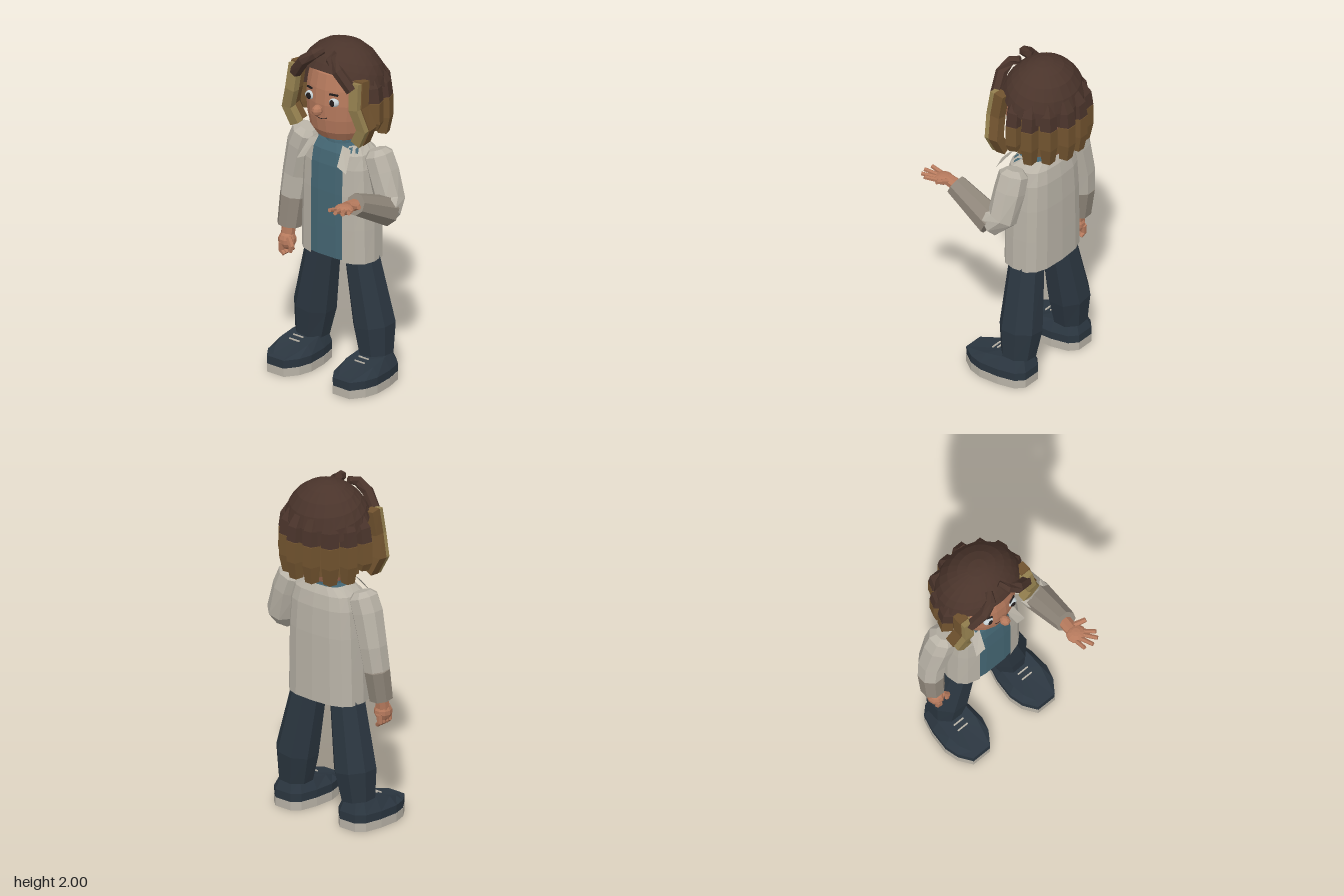
import * as THREE from 'three';

const mat = (name, color, double) => {
  const m = new THREE.MeshStandardMaterial({ color });
  m.name = name;
  if (double) m.side = THREE.DoubleSide;
  return m;
};
const V = (x, y, z) => new THREE.Vector3(x, y, z);
const X = V(1, 0, 0), Y = V(0, 1, 0);

// Faceted skin over rings of points; closed rings get end caps
function loft(rings, closed = true) {
  const pos = [], n = rings[0].length;
  const tri = (...ps) => ps.forEach(p => pos.push(p.x, p.y, p.z));
  const mid = r => r.reduce((s, p) => s.add(p), V(0, 0, 0)).divideScalar(n);
  for (let i = 0; i < rings.length - 1; i++) {
    for (let j = 0; j < (closed ? n : n - 1); j++) {
      const k = (j + 1) % n, [r, q] = [rings[i], rings[i + 1]];
      tri(r[j], r[k], q[k]);
      tri(r[j], q[k], q[j]);
    }
  }
  if (closed) {
    const r = rings[0], q = rings[rings.length - 1], a = mid(r), b = mid(q);
    for (let j = 0; j < n; j++) {
      const k = (j + 1) % n;
      tri(a, r[k], r[j]);
      tri(b, q[j], q[k]);
    }
  }
  const g = new THREE.BufferGeometry();
  g.setAttribute('position', new THREE.Float32BufferAttribute(pos, 3));
  g.computeVertexNormals();
  return g;
}

// Tapered limb along a path of [x, y, z, radius]
function limb(path, sides = 8, ref = X, squash = 1) {
  const pts = path.map(p => V(p[0], p[1], p[2]));
  return loft(pts.map((p, i) => {
    const t = pts[Math.min(i + 1, pts.length - 1)].clone().sub(pts[Math.max(i - 1, 0)]).normalize();
    const u = ref.clone().cross(t).normalize(), v = t.clone().cross(u);
    return Array.from({ length: sides }, (_, j) => {
      const a = (j + 0.5) / sides * Math.PI * 2, r = path[i][3];
      return p.clone().addScaledVector(u, Math.cos(a) * r * squash).addScaledVector(v, Math.sin(a) * r);
    });
  }));
}

const faceted = g => {
  const f = g.index ? g.toNonIndexed() : g;
  f.computeVertexNormals();
  return f;
};
const ball = (x, y, z, a, b, c, w = 10, h = 7) =>
  faceted(new THREE.SphereGeometry(1, w, h).scale(a, b, c).translate(x, y, z));

export function createModel() {
  const darkHair = mat('dark brown hair', 0x4a342b, true), brownHair = mat('light brown hair', 0x71532f, true);
  const blond = mat('blond hair', 0x94804f), skin = mat('skin', 0xb67a5d);
  const shirtBlue = mat('shirt blue', 0x446673), navy = mat('navy', 0x2b3640);
  const cream = mat('cream', 0xb9b3a7, true), taupe = mat('sleeve taupe', 0x8f867a);
  const black = mat('near black', 0x211c1c), white = mat('eye white', 0xc6d0d3);

  const root = new THREE.Group(), body = new THREE.Group();
  root.name = 'figure';
  body.name = 'body';
  body.position.x = -0.01;
  root.add(body);
  const add = (name, geo, m) => {
    const mesh = new THREE.Mesh(geo, m);
    mesh.name = name;
    body.add(mesh);
    return mesh;
  };

  // Torso: rows of [y, half width, half depth]
  const rows = [[0.72, 0.24, 0.145], [0.92, 0.237, 0.146], [1.12, 0.232, 0.146],
    [1.28, 0.222, 0.14], [1.36, 0.2, 0.125], [1.405, 0.135, 0.1]];
  const bend = (v, p) => Math.sign(v) * Math.abs(v) ** p;
  const torsoPoint = (y, w, d, a, k = 1) =>
    V(bend(Math.sin(a), 0.7) * w * k, y, -0.145 + bend(Math.cos(a), 0.7) * d * k);
  add('shirt', loft(rows.map(([y, w, d]) => Array.from({ length: 20 }, (_, j) =>
    torsoPoint(y + (y < 0.8 ? 0.01 : 0), w, d, (j + 0.5) / 20 * Math.PI * 2, 0.965)))), shirtBlue);
  add('jacket', loft(rows.map(([y, w, d]) => {
    const a0 = Math.asin((Math.min(0.11, w * 0.85) / w) ** (1 / 0.7));
    return Array.from({ length: 15 }, (_, j) => torsoPoint(y, w, d, a0 + (Math.PI * 2 - 2 * a0) * j / 14));
  }), false), cream);
  add('shirtCollar', limb([[0, 1.35, -0.14, 0.1], [0, 1.42, -0.14, 0.09]], 12), shirtBlue);
  add('neck', limb([[0, 1.36, -0.14, 0.075], [0, 1.5, -0.14, 0.075]], 10), skin);

  for (const s of [1, -1]) {
    const side = s > 0 ? 'left' : 'right';
    // Lapel
    add(side + 'Lapel', loft([[V(s * 0.09, 1.415, -0.035), V(s * 0.145, 1.4, -0.04)],
      [V(s * 0.115, 1.32, 0.045), V(s * 0.175, 1.29, 0.04)]], false), cream);
    // Trouser leg
    add(side + 'Leg', limb([[s * 0.135, 0.8, -0.15, 0.1], [s * 0.14, 0.71, -0.15, 0.102],
      [s * 0.21, 0.33, -0.167, 0.124], [s * 0.226, 0.16, -0.162, 0.1]]), navy);
    // Shoe outline: [z, half width]
    const outline = [[0.155, 0.06], [0.08, 0.112], [0, 0.133], [-0.12, 0.125], [-0.22, 0.1], [-0.262, 0.055]];
    const loop = [...outline, ...outline.map(([z, w]) => [z, -w]).reverse()];
    const ring = y => loop.map(([z, w]) => V(s * 0.234 + w, y, z));
    add(side + 'Sole', loft([ring(0), ring(0.05)]), cream);
    const top = loop.map(([z, w]) => {
      const zz = z * 0.86 - 0.012;
      return V(s * 0.232 + w * 0.72, 0.1 + 0.065 * THREE.MathUtils.clamp((0.13 - zz) / 0.2, 0, 1), zz);
    });
    add(side + 'Shoe', loft([ring(0.05).map(p => p.setX(s * 0.234 + (p.x - s * 0.234) * 0.985)), ring(0.098), top]), navy);
    for (let i = 0; i < 2; i++)
      add(side + 'Lace', new THREE.BoxGeometry(0.07, 0.006, 0.008).translate(s * 0.232, 0.163 - i * 0.012, -0.045 + i * 0.035), cream);

    // Eye, pupil and brow
    add(side + 'Eye', ball(s * 0.085, 1.698, 0.033, 0.032, 0.025, 0.022), white);
    add(side + 'Pupil', ball(s * 0.083, 1.698, 0.05, 0.017, 0.02, 0.008), black);
    const brow = add(side + 'Brow', new THREE.BoxGeometry(0.05, 0.01, 0.008), black);
    brow.position.set(s * 0.085, 1.745, 0.036);
    brow.rotation.set(0, s * 0.42, -s * 0.1);

    // Parted fringe and framing locks
    add(side + 'Fringe', limb([[s * 0.035, 1.965, -0.02, 0.022], [s * 0.06, 1.95, 0.03, 0.03],
      [s * 0.12, 1.9, 0.045, 0.034], [s * 0.2, 1.8, 0.02, 0.035]], 6), darkHair);
    const lock = [[0.215, 1.84, 0], [0.225, 1.69, 0.02], [0.265, 1.57, 0], [0.215, 1.475, -0.01]];
    add(side + 'FrontLock', limb(lock.map(([x, y, z]) => [s * x, y, z, 0.044]), 4, X, 0.75), blond);
    add(side + 'FrontLockBack', limb(lock.map(([x, y, z]) => [s * (x + 0.008), y + 0.005, z - 0.04, 0.043]), 4), brownHair);
  }

  // Head
  const headProfile = [[0, 1.42], [0.1, 1.425], [0.15, 1.45], [0.182, 1.5], [0.198, 1.58],
    [0.204, 1.67], [0.198, 1.76], [0.18, 1.85], [0.12, 1.93], [0, 1.96]];
  add('head', faceted(new THREE.LatheGeometry(headProfile.map(p => new THREE.Vector2(...p)), 20)
    .rotateY(Math.PI / 20).translate(0, 0, -0.15)), skin);
  add('nose', ball(0, 1.642, 0.076, 0.03, 0.032, 0.034, 8, 6), skin);
  const mouth = add('mouth', new THREE.TorusGeometry(0.085, 0.004, 4, 10, 1.1), black);
  mouth.rotation.z = -Math.PI / 2 - 0.55;
  mouth.position.set(0, 1.668, 0.044);

  // Hair cap with a hairline that drops towards the back
  const capRing = t => Array.from({ length: 24 }, (_, j) => {
    const a = j / 24 * Math.PI * 2;
    const y = 2 - t * t * (2 - (1.69 + 0.09 * (1 + Math.cos(a))));
    const r = 0.262 * Math.sqrt(Math.max(0.0001, 1 - (Math.max(0, y - 1.74) / 0.26) ** 2));
    return V(Math.sin(a) * r, y, -0.15 + Math.cos(a) * r * 0.86);
  });
  add('hairCap', loft([1, 0.85, 0.7, 0.52, 0.34, 0.17, 0.03].map(capRing)), darkHair);

  // Back hair: inner sheet and hanging locks
  add('backHair', loft([1.5, 1.62, 1.78].map(y => Array.from({ length: 13 }, (_, j) => {
    const a = 1.6 + (Math.PI * 2 - 3.2) * j / 12;
    return V(Math.sin(a) * 0.228, y, -0.15 + Math.cos(a) * 0.2);
  })), false), brownHair);
  for (let i = 0; i < 8; i++) {
    const a = 1.5 + (Math.PI * 2 - 3) * i / 7, out = i % 2 ? 0.006 : 0;
    const at = (y, r, w) => [Math.sin(a) * (r + out), y, -0.15 + Math.cos(a) * (r + out) * 0.9, w];
    const low = i === 0 || i === 7 ? 1.53 : 1.47;
    add('backLockTop', limb([at(1.83, 0.2, 0.035), at(1.77, 0.228, 0.05), at(1.69, 0.236, 0.053)], 5), darkHair);
    add('backLock', limb([at(1.69, 0.236, 0.053), at(1.57, 0.238, 0.052), at(low, 0.228, 0.04)], 5), brownHair);
  }

  // Right arm, hanging
  add('rightSleeve', limb([[-0.245, 1.4, -0.15, 0.05], [-0.255, 1.37, -0.15, 0.085], [-0.285, 1.29, -0.15, 0.09],
    [-0.33, 1.1, -0.155, 0.082], [-0.348, 0.96, -0.145, 0.077]]), cream);
  add('rightCuff', limb([[-0.348, 0.96, -0.145, 0.077], [-0.356, 0.78, -0.12, 0.07]]), taupe);
  add('rightWrist', limb([[-0.355, 0.82, -0.12, 0.04], [-0.358, 0.7, -0.105, 0.04]]), skin);
  add('rightPalm', ball(-0.355, 0.695, -0.1, 0.05, 0.055, 0.055), skin);
  for (let i = 0; i < 4; i++)
    add('rightFinger', limb([[-0.365, 0.69, -0.145 + i * 0.028, 0.018], [-0.368, 0.64, -0.142 + i * 0.026, 0.017],
      [-0.345, 0.62, -0.138 + i * 0.025, 0.013]], 6), skin);
  add('rightThumb', limb([[-0.325, 0.72, -0.075, 0.018], [-0.296, 0.68, -0.065, 0.017], [-0.305, 0.645, -0.062, 0.013]], 6), skin);

  // Left arm, bent with an open palm
  add('leftSleeve', limb([[0.245, 1.4, -0.15, 0.05], [0.255, 1.37, -0.15, 0.085], [0.29, 1.28, -0.15, 0.09],
    [0.34, 1.13, -0.14, 0.088], [0.36, 1.085, -0.075, 0.088]]), cream);
  add('leftCuff', limb([[0.362, 1.08, -0.085, 0.088], [0.355, 1.21, 0.18, 0.064]]), taupe);
  add('leftWrist', limb([[0.352, 1.2, 0.14, 0.042], [0.347, 1.215, 0.24, 0.038]], 8, X, 0.8), skin);
  add('leftPalm', ball(0.35, 1.212, 0.27, 0.058, 0.026, 0.056), skin);
  [[0.327, 0.372], [0.377, 0.385], [0.42, 0.372], [0.437, 0.338]].forEach(([x, z], i) =>
    add('leftFinger', limb([[0.322 + i * 0.022, 1.212, 0.295 - i * 0.004, 0.014], [x, 1.235, z, 0.012]], 6, Y), skin));
  add('leftThumb', limb([[0.37, 1.22, 0.225, 0.017], [0.438, 1.24, 0.25, 0.014]], 6, Y), skin);

  return root;
}
